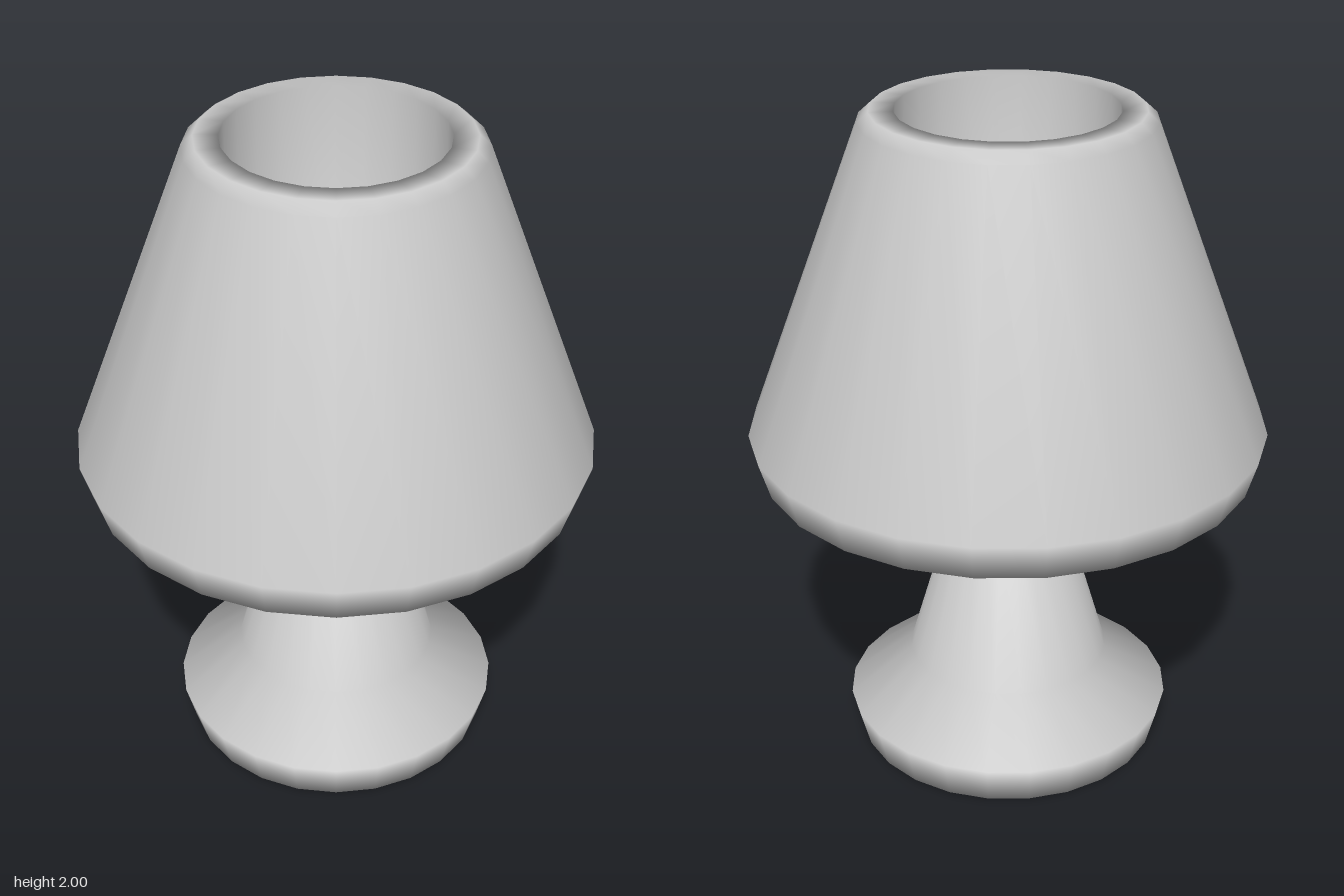
import * as THREE from 'three';

const SIDES = 24;

export function createModel() {
  const lamp = new THREE.Group();
  lamp.name = 'tableLamp';

  const lightGrey = new THREE.MeshStandardMaterial({ color: 0xcccccc });
  lightGrey.name = 'lightGrey';

  // Turned part from a [radius, height] profile, running bottom to top
  function turned(name, profile) {
    const points = profile.map(([r, y]) => new THREE.Vector2(r, y));
    const mesh = new THREE.Mesh(new THREE.LatheGeometry(points, SIDES), lightGrey);
    mesh.name = name;
    lamp.add(mesh);
  }

  // Flared foot with a tapering body
  turned('base', [
    [0, 0], [0.465, 0], [0.497, 0.12], [0.305, 0.27], [0.172, 0.73], [0, 0.73],
  ]);

  // Post joining base and shade, its tip standing inside the shade
  turned('stem', [
    [0, 0.7], [0.083, 0.7], [0.083, 1.25], [0, 1.25],
  ]);

  // Shade with a closed underside, rounded rim and a well open at the top
  turned('shade', [
    [0, 0.93], [0.735, 0.93], [0.768, 1.04], [0.42, 1.97], [0.387, 2],
    [0.317, 2], [0.317, 1.1], [0, 1.1],
  ]);

  return lamp;
}
